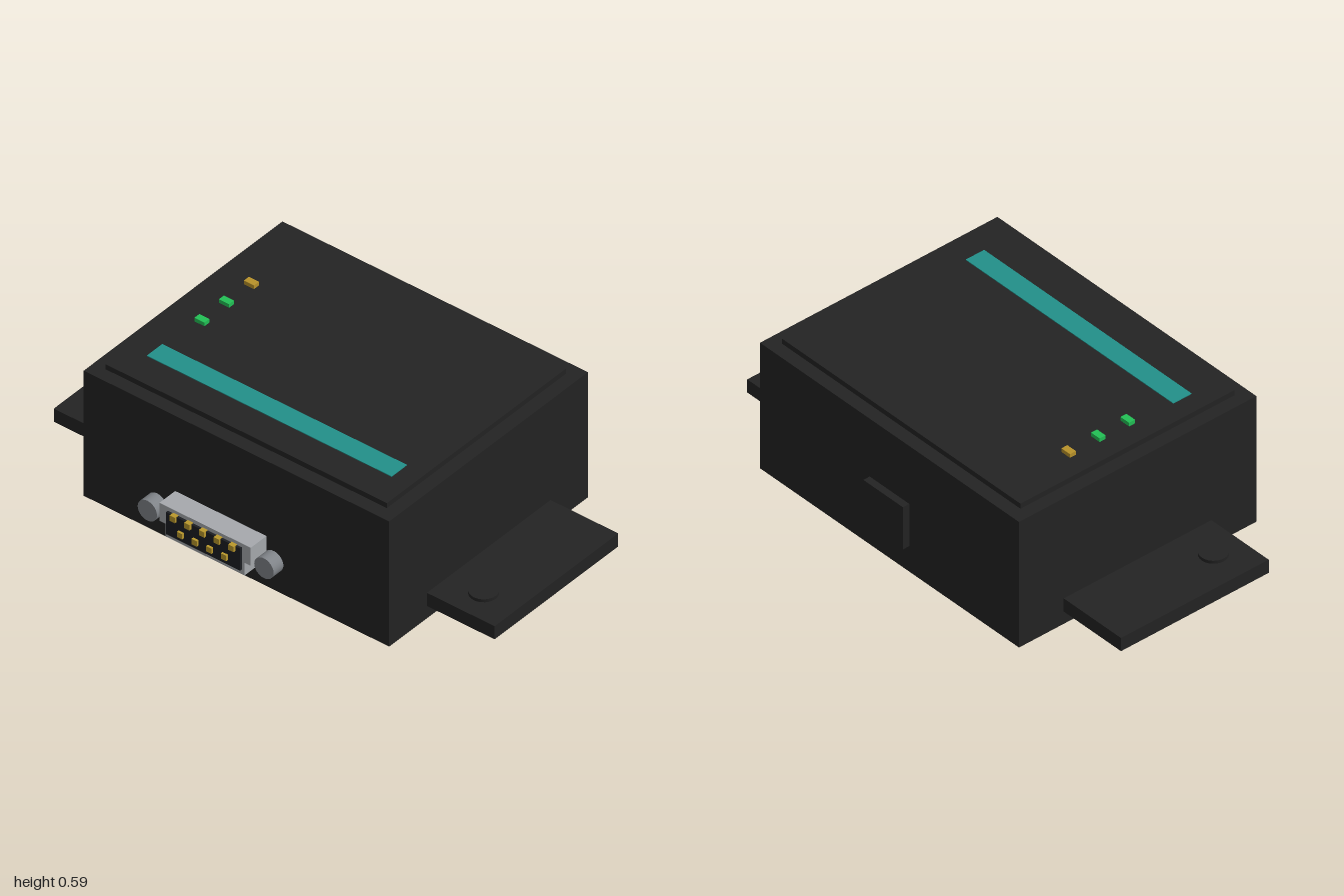
import * as THREE from 'three';

const mat = (name, color) => {
  const m = new THREE.MeshStandardMaterial({ color });
  m.name = name;
  return m;
};

export function createModel() {
  const black = mat('black plastic', 0x232323);
  const teal = mat('teal label', 0x229089);
  const green = mat('green light', 0x22c055);
  const amber = mat('amber light', 0xb8922a);
  const silver = mat('silver metal', 0xa6a9ad);
  const grey = mat('grey metal', 0x808489);
  const gold = mat('gold pin', 0xba982c);
  const dark = mat('dark insert', 0x1c1e22);

  const model = new THREE.Group();
  model.name = 'interfaceBox';

  const add = (name, geometry, material, x, y, z) => {
    const mesh = new THREE.Mesh(geometry, material);
    mesh.name = name;
    mesh.position.set(x, y, z);
    model.add(mesh);
    return mesh;
  };
  // Box given by its minimum and maximum along each axis
  const box = (name, material, x0, x1, y0, y1, z0, z1) =>
    add(name, new THREE.BoxGeometry(x1 - x0, y1 - y0, z1 - z0), material,
      (x0 + x1) / 2, (y0 + y1) / 2, (z0 + z1) / 2);

  // Housing, raised lid and back plate
  box('housing', black, -0.693, 0.693, 0, 0.556, -0.595, 0.517);
  box('lid', black, -0.638, 0.638, 0.556, 0.578, -0.54, 0.462);
  box('backPlate', black, -0.106, 0.106, 0.113, 0.3, -0.625, -0.595);

  // Label stripe and status lights
  box('labelStripe', teal, -0.555, 0.555, 0.578, 0.581, 0.248, 0.334);
  [[0.058, green], [-0.08, green], [-0.219, amber]].forEach(([z, material]) =>
    box('statusLight', material, -0.552, -0.506, 0.578, 0.594, z - 0.014, z + 0.014));

  // Mounting tabs with their bosses
  for (const s of [-1, 1]) {
    add('mountingTab', new THREE.BoxGeometry(0.307, 0.058, 0.692), black, s * 0.8465, 0.084, -0.04);
    add('mountingBoss', new THREE.CylinderGeometry(0.055, 0.055, 0.082, 24), black, s * 0.848, 0.085, 0.18);
  }

  // Connector shell: wide upper part over a narrower lower part
  const shell = new THREE.Shape([
    [-0.278, 0.222], [-0.278, 0.142], [-0.25, 0.142], [-0.25, 0.086],
    [0.108, 0.086], [0.108, 0.142], [0.136, 0.142], [0.136, 0.222],
  ].map(([x, y]) => new THREE.Vector2(x, y)));
  add('connectorShell', new THREE.ExtrudeGeometry(shell, { depth: 0.088, bevelEnabled: false }),
    silver, 0, 0, 0.517);
  box('connectorInsert', dark, -0.24, 0.096, 0.107, 0.205, 0.6, 0.615);

  // Two staggered rows of pins
  const pinRow = (count, x0, y) => {
    for (let i = 0; i < count; i++) {
      const x = x0 + i * 0.0665;
      box('pin', gold, x - 0.012, x + 0.012, y - 0.012, y + 0.012, 0.605, 0.625);
    }
  };
  pinRow(5, -0.204, 0.196);
  pinRow(4, -0.171, 0.14);

  // Jack screws beside the connector
  for (const x of [-0.336, 0.193]) {
    add('jackScrew', new THREE.CylinderGeometry(0.044, 0.044, 0.055, 24), grey, x, 0.157, 0.574)
      .rotation.x = Math.PI / 2;
  }

  return model;
}
